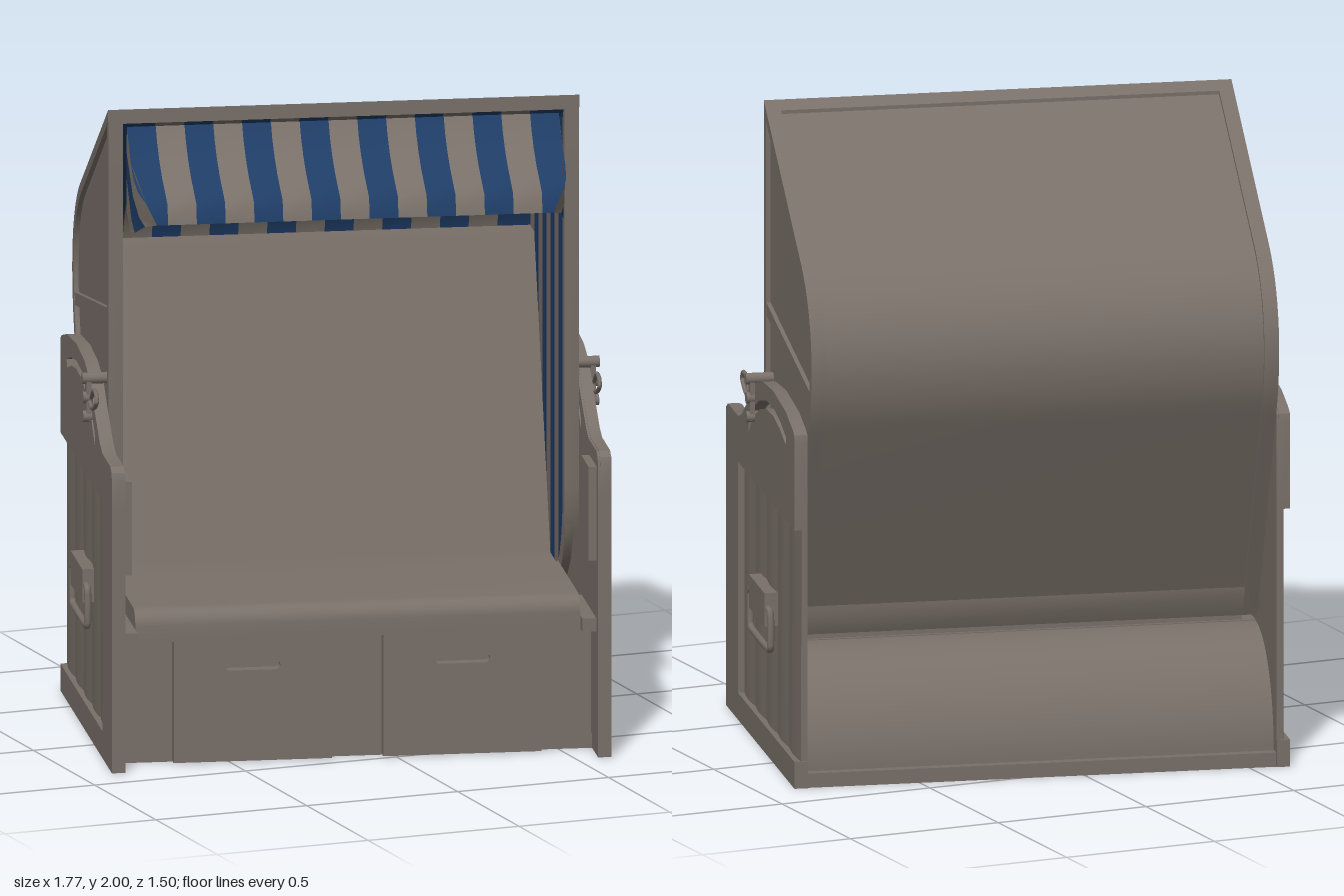
import * as THREE from 'three';
import { toCreasedNormals } from 'three/addons/utils/BufferGeometryUtils.js';

const wicker = new THREE.MeshStandardMaterial({ color: 0x786f68, side: THREE.DoubleSide });
wicker.name = 'warm grey';
const blue = new THREE.MeshStandardMaterial({ color: 0x1e3c65, side: THREE.DoubleSide });
blue.name = 'awning blue';

// Points in side profiles are [z, y]
const lerp = (a, b, t) => a.map((v, i) => v + (b[i] - v) * t);

// y of a polyline at a given z (z falls along the line)
function yAt(pts, z) {
  for (let i = 0; i < pts.length - 1; i++) {
    const [a, b] = [pts[i], pts[i + 1]];
    if (z <= a[0] && z >= b[0]) return a[1] + (b[1] - a[1]) * (a[0] - z) / (a[0] - b[0] || 1);
  }
  return pts[pts.length - 1][1];
}

// Shift a polyline towards the inside of the hood, keeping its front end cut upright
function inset(pts, d) {
  return pts.map((p, i) => {
    const a = pts[Math.max(i - 1, 0)], b = pts[Math.min(i + 1, pts.length - 1)];
    const dz = b[0] - a[0], dy = b[1] - a[1], l = Math.hypot(dz, dy);
    return i ? [p[0] - dy / l * d, p[1] + dz / l * d] : [p[0], p[1] + d * l / dz];
  });
}

export function createModel() {
  const model = new THREE.Group();
  const chair = new THREE.Group();
  chair.name = 'beachChair';
  chair.rotation.y = -0.244;
  model.add(chair);

  function add(name, geo, mat = wicker) {
    const mesh = new THREE.Mesh(geo, mat);
    mesh.name = name;
    chair.add(mesh);
    return mesh;
  }
  function box(name, x0, x1, y0, y1, z0, z1) {
    const g = new THREE.BoxGeometry(Math.abs(x1 - x0), y1 - y0, z1 - z0);
    return add(name, g.translate((x0 + x1) / 2, (y0 + y1) / 2, (z0 + z1) / 2));
  }
  // Side profile extruded along x
  function extrudeX(name, pts, x0, x1, holes = []) {
    const shape = new THREE.Shape(pts.map(p => new THREE.Vector2(...p)));
    shape.holes = holes.map(h => new THREE.Path(h.map(p => new THREE.Vector2(...p))));
    const g = new THREE.ExtrudeGeometry(shape, { depth: Math.abs(x1 - x0), bevelEnabled: false });
    g.rotateY(-Math.PI / 2).translate(Math.max(x0, x1), 0, 0);
    return add(name, toCreasedNormals(g, 0.5));
  }
  const ribbon = (name, pts, d0, d1, x0, x1) =>
    extrudeX(name, [...inset(pts, d0), ...inset(pts, d1).reverse()], x0, x1);
  // Surface between two rows of [x, y, z] points
  function cloth(name, a, b, mat) {
    const pos = [], idx = [];
    a.forEach((p, i) => {
      pos.push(...p, ...b[i]);
      if (i) idx.push(2 * i - 2, 2 * i - 1, 2 * i, 2 * i - 1, 2 * i + 1, 2 * i);
    });
    const g = new THREE.BufferGeometry();
    g.setAttribute('position', new THREE.Float32BufferAttribute(pos, 3));
    g.setIndex(idx);
    g.computeVertexNormals();
    return add(name, g, mat);
  }
  function tube(name, pts, r, closed = false) {
    const curve = new THREE.CatmullRomCurve3(pts.map(p => new THREE.Vector3(...p)), closed, 'catmullrom', 0.3);
    return add(name, new THREE.TubeGeometry(curve, 48, r, 8, closed));
  }

  // Hood profile: straight roof, round shoulder, sloping back
  const bend = new THREE.CubicBezierCurve(new THREE.Vector2(-0.42, 1.625), new THREE.Vector2(-0.58, 1.526),
    new THREE.Vector2(-0.64, 1.34), new THREE.Vector2(-0.543, 1.12));
  const hood = [[0.19, 2], ...bend.getPoints(18).map(p => [p.x, p.y]), [-0.233, 0.41]];
  const hoodFoot = [[-0.05, 0.42], [0.03, 0.45], [0.1, 0.51], [0.155, 0.6], [0.175, 0.68], [0.18, 0.77]];
  ribbon('hoodShell', hood, 0.01, 0.03, -0.7, 0.7);
  extrudeX('hoodTopBar', [[0.19, 2], [0.19, 1.955], [0.15, 1.955], [0.15, 1.975]], -0.7, 0.7);
  const [ba, bb] = [hood[hood.length - 2], hood[hood.length - 1]];
  ribbon('hoodBackRail', [lerp(ba, bb, 0.9), bb], 0, 0.02, -0.7, 0.7);

  // Stripes of the roof lining and of the sagging awning
  const lining = inset(hood, 0.034).filter(p => p[1] > 1.38);
  const awning = [[0.17, 1.94, 0.67], [0.2, 1.895, 0.67], [0.25, 1.848, 0.67], [0.31, 1.808, 0.67],
    [0.37, 1.779, 0.664], [0.425, 1.753, 0.645], [0.44, 1.69, 0.615]];
  const sw = 1.34 / 15;
  for (let i = 0; i < 15; i++) {
    const mat = i % 2 ? wicker : blue;
    const x0 = -0.67 + i * sw, x1 = x0 + sw;
    const l0 = i === 0 ? -0.695 : x0, l1 = i === 14 ? 0.695 : x1;
    cloth('roofLining', lining.map(([z, y]) => [l0, y, z]), lining.map(([z, y]) => [l1, y, z]), mat);
    cloth('awningStripe', awning.map(([z, y, w]) => [Math.max(x0, -w), y, z]),
      awning.map(([z, y, w]) => [Math.min(x1, w), y, z]), mat);
  }

  // Backrest and seat
  extrudeX('backrest', [[-0.09, 0.45], [-0.45, 1.42], [-0.555, 1.42], [-0.52, 1.15], [-0.21, 0.44]], -0.69, 0.69);
  const seat = [[-0.2, 0.388], [0.493, 0.388]];
  for (let i = 0; i <= 6; i++) {
    const a = i / 6 * Math.PI / 2;
    seat.push([0.443 + 0.05 * Math.cos(a), 0.44 + 0.05 * Math.sin(a)]);
  }
  extrudeX('seat', [...seat, [-0.2, 0.49]], -0.69, 0.69);
  box('seatBase', -0.73, 0.73, 0.01, 0.388, -0.21, 0.45);
  box('floor', -0.732, 0.732, 0, 0.045, -0.535, 0.45);

  // Rounded footrest housing at the back
  const drum = [[-0.2, 0.04]];
  for (let i = 0; i <= 20; i++) {
    const a = i / 20 * Math.PI / 2;
    drum.push([-0.21 - 0.295 * Math.sin(a), 0.045 + 0.34 * Math.cos(a)]);
  }
  extrudeX('rearHousing', drum, -0.73, 0.73);

  // Side wall outline and its curved adjustment slot
  const crown = [[0.58, 0.815], [0.58, 0.92], [0.572, 0.945], [0.545, 0.96], [0.375, 0.96], [0.32, 0.98], [0.18, 1.07],
    [0.1, 1.13], [-0.02, 1.163], [-0.19, 1.175], [-0.4, 1.157], [-0.51, 1.128], [-0.535, 1.115], [-0.54, 1.09], [-0.54, 0.815]];
  const slotLine = [[0.21, 0.965], [0.13, 1.032], [0.03, 1.078], [-0.08, 1.104], [-0.19, 1.109], [-0.3, 1.094], [-0.4, 1.065]];
  const slot = [...inset(slotLine, -0.013), ...inset(slotLine, 0.013).reverse()];

  for (const s of [-1, 1]) {
    // Hood side with raised frame
    extrudeX('hoodSide', [...inset(hood, 0.012), ...hoodFoot], s * 0.69, s * 0.716);
    ribbon('hoodRim', hood, 0, 0.032, s * 0.685, s * 0.731);
    extrudeX('hoodFrontPost', [[0.19, 1.995], [0.158, 1.975], [0.158, 0.62], [0.18, 0.68], [0.19, 0.77]], s * 0.685, s * 0.73);
    extrudeX('hoodCrossRail', [[0.165, 1.37], [-0.565, 1.25], [-0.55, 1.212], [0.165, 1.33]], s * 0.705, s * 0.729);

    // Striped lining of the hood side
    const low = [[0.17, 0.72], [0.14, 0.6], [0.09, 0.52], [0, 0.47], [-0.09, 0.46], [-0.45, 1.42], [-0.6, 1.42]];
    const high = lining.filter((p, i) => !i || p[0] < lining[i - 1][0]);
    for (let i = 0; i < 8; i++) {
      const zs = [0, 1, 2, 3, 4].map(k => 0.165 - (i + k / 4) * 0.0875);
      cloth('sideLining', zs.map(z => [s * 0.682, yAt(low, z), z]),
        zs.map(z => [s * 0.682, Math.max(yAt(low, z), yAt(high, z)), z]), i % 2 ? wicker : blue);
    }

    // Awning end flap: diagonal bands running parallel to the awning edge
    const bands = [
      [0, 2, 5, 6].map(i => awning[i]),
      [[0.16, 1.86, 0.67], [0.3, 1.752, 0.67], [0.36, 1.7, 0.66], [0.389, 1.675, 0.645]],
      [[0.16, 1.78, 0.67], [0.22, 1.722, 0.67], [0.27, 1.67, 0.67], [0.305, 1.637, 0.665]],
      [[0.16, 1.67, 0.67], [0.2, 1.653, 0.67], [0.23, 1.638, 0.67], [0.26, 1.632, 0.67]],
    ].map(row => row.map(([z, y, w]) => [s * w, y, z]));
    for (let i = 0; i < 3; i++) cloth('awningFlap', bands[i], bands[i + 1], i === 1 ? blue : wicker);

    // Side wall with raised rails
    extrudeX('sideWall', [[0.575, 0], ...crown.map(([z, y]) => [z * 0.995, y - 0.002]), [-0.535, 0]], s * 0.733, s * 0.753, [slot]);
    extrudeX('sideTopRail', crown, s * 0.74, s * 0.775, [slot]);
    box('sideBottomRail', s * 0.733, s * 0.775, 0, 0.085, -0.54, 0.58);
    box('sideFrontStile', s * 0.733, s * 0.775, 0.085, 0.815, 0.38, 0.58);

    // Gently rounded planks inside the side frame
    const planks = Array.from({ length: 41 }, (_, i) =>
      [s * (0.7545 + 0.006 * Math.abs(Math.sin(i / 8 * Math.PI))), -0.535 + i * 0.915 / 40]);
    cloth('sidePlanks', planks.map(([x, z]) => [x, 0.085, z]), planks.map(([x, z]) => [x, 0.815, z]), wicker);

    // Carry handle
    box('handlePlate', s * 0.75, s * 0.797, 0.425, 0.53, -0.165, 0.09);
    const c = 0.025, [z0, z1, y0, y1] = [-0.205, 0.125, 0.355, 0.48];
    tube('handleRing', [[z0 + c, y0], [z1 - c, y0], [z1, y0 + c], [z1, y1 - c], [z1 - c, y1], [z0 + c, y1],
      [z0, y1 - c], [z0, y0 + c]].map(([z, y]) => [s * 0.785, y, z]), 0.011, true);

    // Clamp lever of the recliner
    box('clampBar', s * 0.775, s * 0.79, 1.01, 1.14, 0.105, 0.135);
    for (const y of [1.02, 1.08, 1.14]) {
      const g = new THREE.CylinderGeometry(0.018, 0.018, y > 1.1 ? 0.1 : 0.06, 12);
      add('clampBolt', g.rotateZ(Math.PI / 2).translate(s * (y > 1.1 ? 0.752 : 0.77), y, 0.12));
    }
    tube('clampLever', [[0.12, 1.07], [0.18, 1.06], [0.24, 1.075], [0.285, 1.1], [0.27, 1.125], [0.22, 1.125], [0.17, 1.09]]
      .map(([z, y]) => [s * 0.78, y, z]), 0.007);

    // Folding table and rest inside the wall
    box('foldingTable', s * 0.708, s * 0.733, 0.615, 0.91, 0.39, 0.55);
    box('sideRest', s * 0.69, s * 0.733, 0.388, 0.43, 0.22, 0.54);

    // Drawer front with a grip slot
    const front = new THREE.Shape([[-0.245, 0.004], [0.245, 0.004], [0.245, 0.388], [-0.245, 0.388]].map(p => new THREE.Vector2(...p)));
    const grip = new THREE.Path();
    grip.absarc(0.073, 0.303, 0.013, -Math.PI / 2, Math.PI / 2);
    grip.absarc(-0.073, 0.303, 0.013, Math.PI / 2, Math.PI * 1.5);
    front.holes.push(grip);
    const dg = new THREE.ExtrudeGeometry(front, { depth: 0.038, bevelEnabled: false });
    add('drawerFront', toCreasedNormals(dg, 0.5).translate(s * 0.325, 0, 0.45));
  }
  return model;
}
